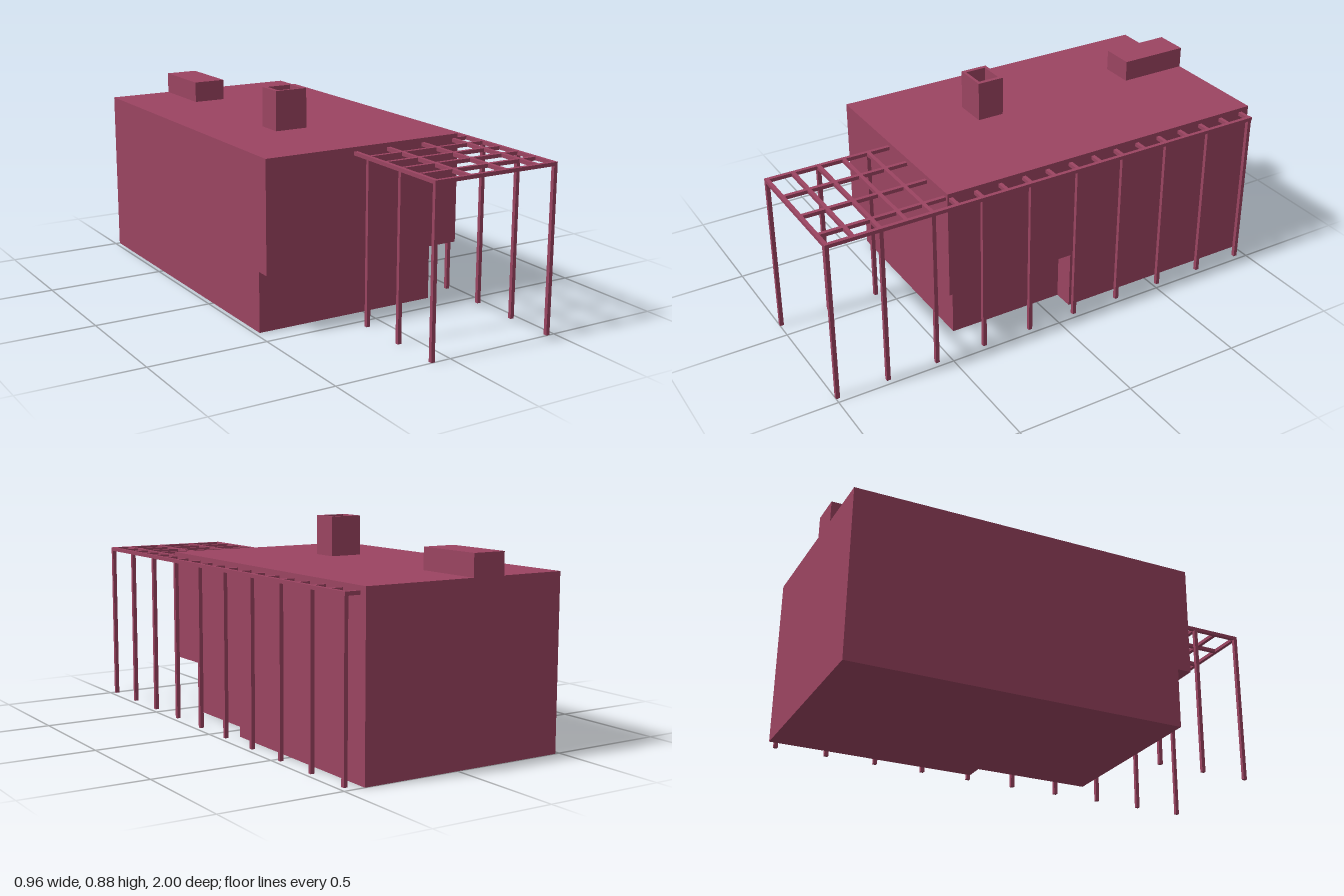
import * as THREE from 'three';

export function createModel() {
  const model = new THREE.Group();
  const material = new THREE.MeshStandardMaterial({ color: 0x9b4461, flatShading: true });

  const add = (name, geometry, parent = model) => {
    const mesh = new THREE.Mesh(geometry, material);
    mesh.name = name;
    parent.add(mesh);
    return mesh;
  };

  // Box given by its limits on each axis
  const box = (name, x0, x1, y0, y1, z0, z1, parent) =>
    add(name, new THREE.BoxGeometry(x1 - x0, y1 - y0, z1 - z0), parent)
      .position.set((x0 + x1) / 2, (y0 + y1) / 2, (z0 + z1) / 2);

  // Plan outline of [x, z] points raised from y0 to y1
  const raise = (name, outline, y0, y1, hole) => {
    const points = (list) => list.map(([x, z]) => new THREE.Vector2(x, -z));
    const shape = new THREE.Shape(points(outline));
    if (hole) shape.holes.push(new THREE.Path(points(hole)));
    const geometry = new THREE.ExtrudeGeometry(shape, { depth: y1 - y0, bevelEnabled: false });
    add(name, geometry.rotateX(-Math.PI / 2).translate(0, y0, 0));
  };
  const rect = (x0, x1, z0, z1) => [[x0, z1], [x1, z1], [x1, z0], [x0, z0]];

  // House: recessed ground floor under an overhanging upper floor
  raise('groundFloor', [
    [-0.48, 0.405], [0.326, 0.405], [0.326, -0.105],
    [0.413, -0.105], [0.413, -1], [-0.48, -1],
  ], 0, 0.25);
  box('upperFloor', -0.48, 0.413, 0.25, 0.71, -1, 0.465);

  // Rooftop: open chimney and a block at the back
  raise('chimney', rect(-0.203, -0.06, -0.063, 0.053), 0.71, 0.877,
    rect(-0.185, -0.078, -0.05, 0.04));
  box('roofBlock', -0.203, -0.06, 0.71, 0.8, -1, -0.7);

  // Pergola wrapping the front corner and the left side
  const pergola = new THREE.Group();
  pergola.name = 'pergola';
  model.add(pergola);
  const w = 0.008, low = 0.677, high = 0.692;
  const leftX = 0.47, rightX = -0.079, frontZ = 0.992;

  // Posts: ten along the long side, three on the short one
  for (let i = 0; i < 10; i++) {
    const z = frontZ - i * 0.2165;
    box('post', leftX - w, leftX + w, 0, low, z - w, z + w, pergola);
    if (i < 3) box('post', rightX - w, rightX + w, 0, low, z - w, z + w, pergola);
  }

  // Beams running front to back
  box('longBeam', leftX - w, leftX + w, low, high, -0.968, 1, pergola);
  for (const x of [rightX, 0.075, 0.24, 0.392])
    box('beam', x - w, x + w, low, high, 0.465, 1, pergola);

  // Rafters: full width in front, short rungs beside the house
  for (let i = 0; i < 19; i++) {
    const z = frontZ - i * 0.1083;
    box('rafter', i < 5 ? rightX - w : 0.413, leftX + w, low, high, z - w, z + w, pergola);
  }
  return model;
}
